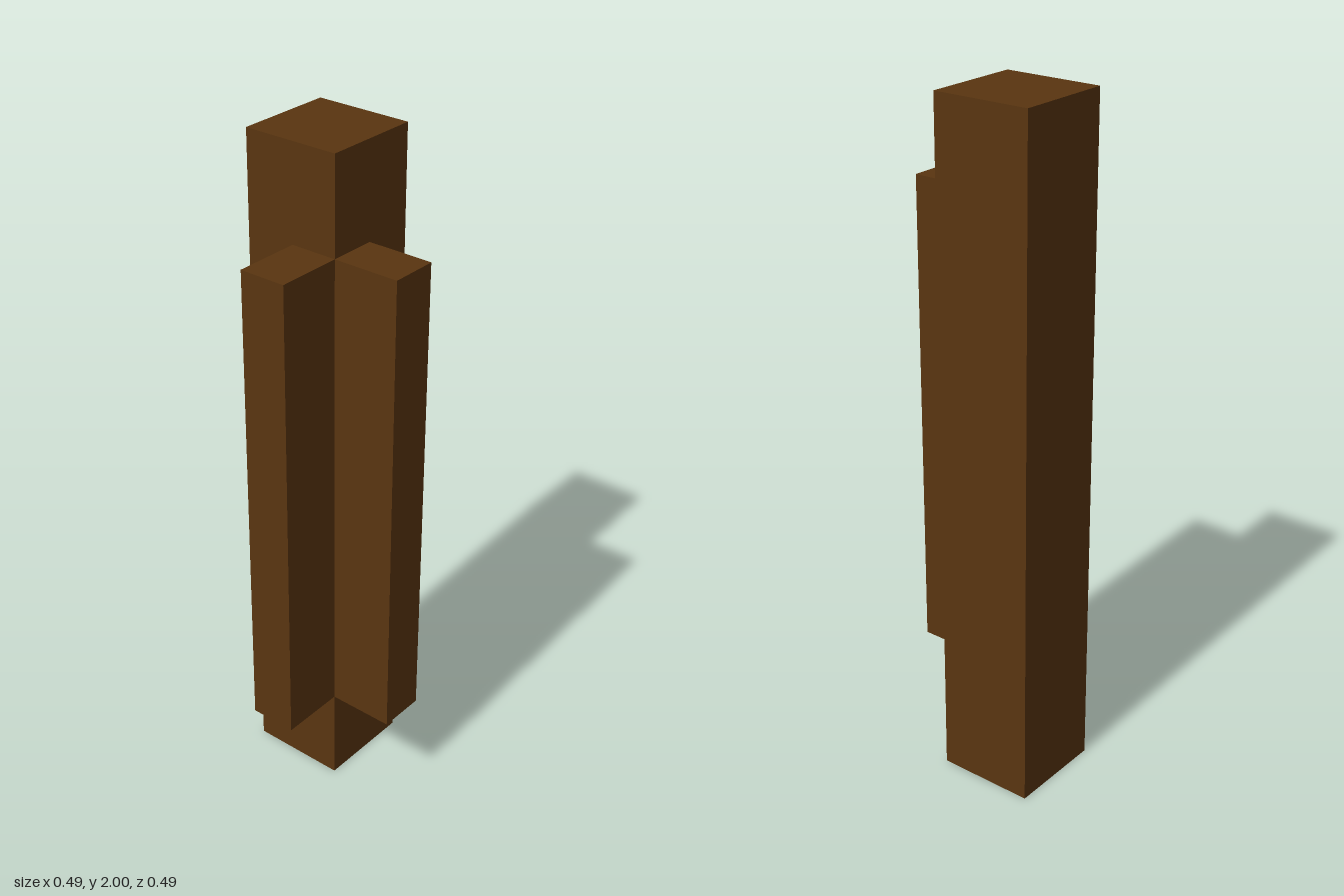
import * as THREE from 'three';

export function createModel() {
  const model = new THREE.Group();
  const wood = new THREE.MeshStandardMaterial({ color: 0x5a3510 });
  wood.name = 'darkWood';

  // Box given by its minimum and maximum corners
  const addBox = (name, min, max) => {
    const size = max.map((v, i) => v - min[i]);
    const mesh = new THREE.Mesh(new THREE.BoxGeometry(...size), wood);
    mesh.name = name;
    mesh.position.set(...max.map((v, i) => (v + min[i]) / 2));
    model.add(mesh);
  };

  // Tall corner post
  addBox('post', [-0.048, 0, -0.246], [0.245, 2, 0.046]);

  // Two shorter wall panels meeting the post on adjacent faces
  const bottom = 0.295, top = 1.72;
  addBox('frontPanel', [-0.048, bottom, 0.046], [0.093, top, 0.245]);
  addBox('sidePanel', [-0.246, bottom, -0.095], [-0.048, top, 0.046]);

  return model;
}
